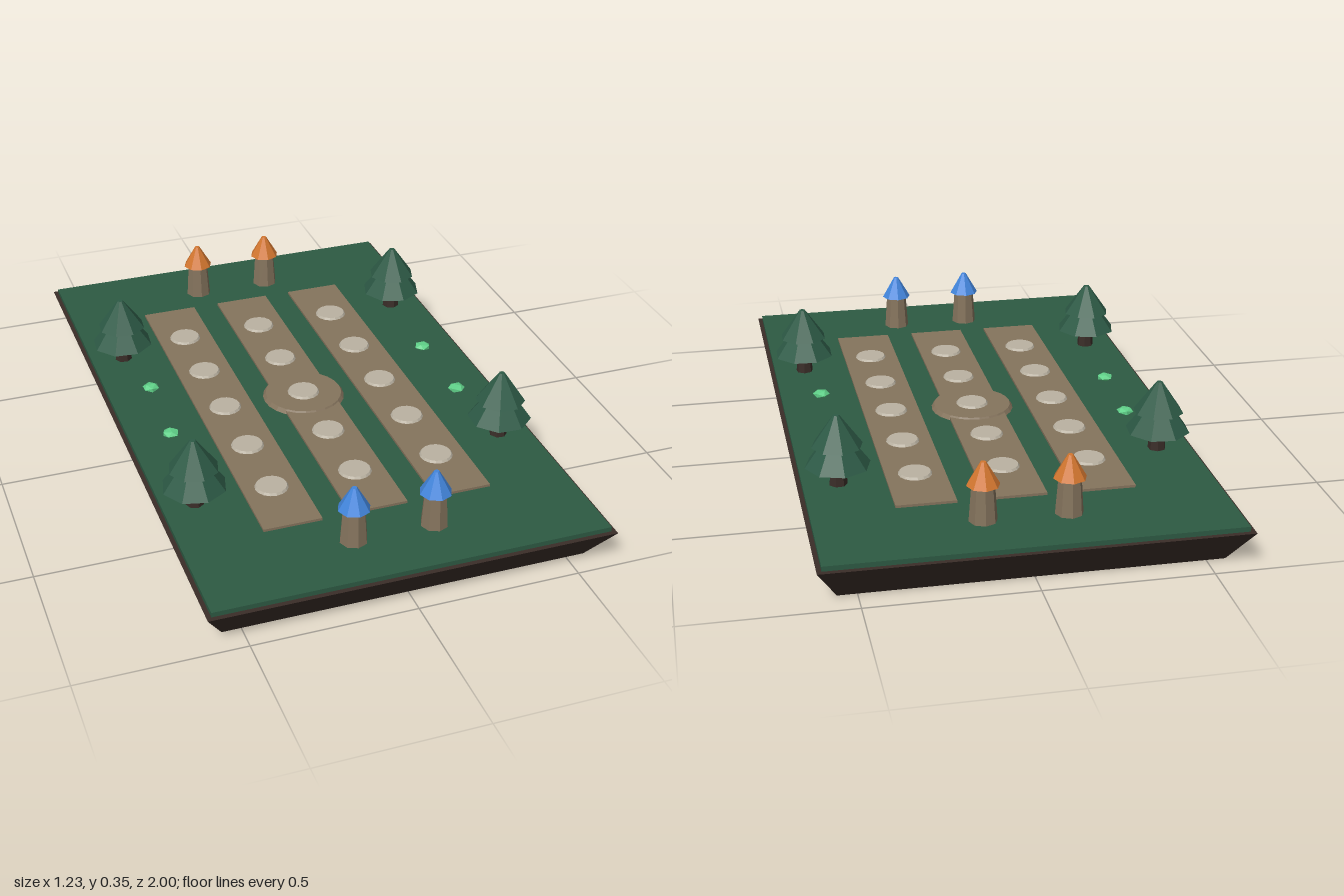
import * as THREE from 'three';

const paint = (name, color) => {
  const m = new THREE.MeshStandardMaterial({ color, flatShading: true });
  m.name = name;
  return m;
};

export function createModel() {
  const model = new THREE.Group();
  model.name = 'gardenBoard';

  const soil = paint('dark soil', 0x3a2d28);
  const grass = paint('grass green', 0x2d5a43);
  const pine = paint('pine green', 0x2d5a46);
  const path = paint('path brown', 0x85745d);
  const stone = paint('pale stone', 0xbab2a2);
  const blue = paint('roof blue', 0x4285dc);
  const orange = paint('roof orange', 0xd2762f);
  const leaf = paint('shrub green', 0x5fd088);

  const add = (parent, name, geometry, material, x, y, z) => {
    const mesh = new THREE.Mesh(geometry, material);
    mesh.name = name;
    mesh.position.set(x, y, z);
    parent.add(mesh);
    return mesh;
  };
  // Tapered cylinder standing between two heights
  const drum = (parent, name, rTop, rBottom, y0, y1, sides, material, x = 0, z = 0) =>
    add(parent, name, new THREE.CylinderGeometry(rTop, rBottom, y1 - y0, sides), material, x, (y0 + y1) / 2, z);
  const groupAt = (name, x, z, turn = 0) => {
    const g = new THREE.Group();
    g.name = name;
    g.position.set(x, 0, z);
    g.rotation.y = turn;
    model.add(g);
    return g;
  };

  // Base: box narrowed towards the bottom
  const base = new THREE.BoxGeometry(1.234, 0.115, 2);
  const p = base.attributes.position;
  for (let i = 0; i < p.count; i++) {
    if (p.getY(i) < 0) {
      p.setX(i, Math.sign(p.getX(i)) * 0.557);
      p.setZ(i, Math.sign(p.getZ(i)) * 0.918);
    }
  }
  base.computeVertexNormals();
  add(model, 'base', base, soil, 0, 0.0575, 0);
  add(model, 'lawn', new THREE.BoxGeometry(1.206, 0.02, 1.97), grass, 0, 0.12, 0);

  // Three lanes with five stepping stones each
  for (const x of [-0.266, 0, 0.266]) {
    add(model, 'lane', new THREE.BoxGeometry(0.18, 0.01, 1.36), path, x, 0.133, 0);
    for (let i = -2; i <= 2; i++) {
      const lift = x === 0 && i === 0 ? 0.005 : 0;
      drum(model, 'steppingStone', 0.047, 0.053, 0.136 + lift, 0.145 + lift, 16, stone, x, i * 0.239);
    }
  }
  drum(model, 'centreDisc', 0.123, 0.132, 0.13, 0.143, 24, path);

  // Pairs of towers at both ends
  for (const [z, roof] of [[0.8, blue], [-0.8, orange]]) {
    for (const x of [-0.125, 0.125]) {
      const tower = groupAt('tower', x, z);
      drum(tower, 'towerBody', 0.034, 0.042, 0.13, 0.242, 8, path);
      drum(tower, 'towerRoof', 0.008, 0.049, 0.241, 0.312, 8, roof);
    }
  }

  // Two-tier pines
  const pines = [[-0.497, -0.424, 0.3], [0.497, -0.487, 0.1], [-0.503, 0.475, 0.15], [0.503, 0.417, 0.35]];
  for (const [x, z, turn] of pines) {
    const tree = groupAt('pine', x, z, turn);
    drum(tree, 'trunk', 0.022, 0.028, 0.13, 0.215, 7, soil);
    drum(tree, 'lowerBranches', 0.018, 0.099, 0.192, 0.302, 8, pine);
    drum(tree, 'upperBranches', 0.009, 0.077, 0.254, 0.35, 8, pine);
  }

  // Small flattened shrubs
  const shrubs = [[-0.466, -0.175], [0.475, -0.137], [-0.477, 0.113], [0.475, 0.152]];
  shrubs.forEach(([x, z], i) => {
    const shrub = add(model, 'shrub', new THREE.IcosahedronGeometry(0.028, 0), leaf, x, 0.151, z);
    shrub.scale.y = 0.45;
    shrub.rotation.y = i * 0.8;
  });

  return model;
}
